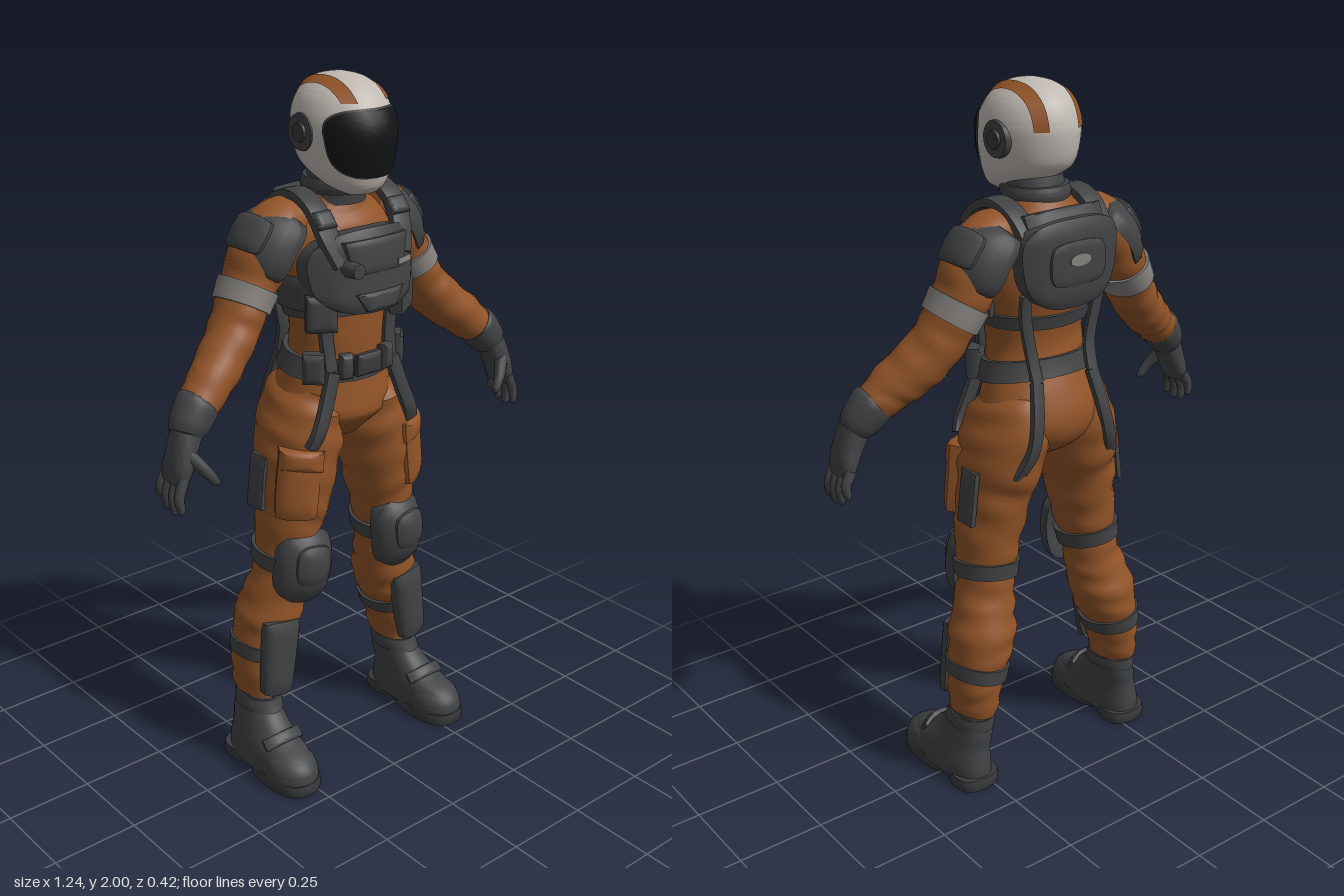
import * as THREE from 'three';
import { toCreasedNormals } from 'three/addons/utils/BufferGeometryUtils.js';

const colour = (name, hex) => Object.assign(new THREE.MeshStandardMaterial({ color: hex }), { name });
const V = (x, y, z) => new THREE.Vector3(x, y, z);

// Body sections, bottom to top: [x, y, z, half width, half depth]
const TORSO = [[0, .99, -.03, .07, .07], [0, 1.05, -.037, .16, .134], [0, 1.11, -.038, .185, .146], [0, 1.2, -.025, .165, .122],
  [0, 1.27, -.015, .145, .112], [0, 1.35, -.012, .15, .112], [0, 1.45, -.02, .175, .125], [0, 1.55, -.03, .182, .128],
  [0, 1.62, -.035, .155, .112], [0, 1.67, -.03, .105, .088], [0, 1.71, -.02, .08, .07]];
const LEG = [[.265, .23, -.068, .058, .082], [.26, .29, -.066, .068, .09], [.245, .38, -.065, .08, .093], [.225, .46, -.06, .095, .1],
  [.205, .54, -.045, .088, .09], [.19, .62, -.035, .08, .086], [.18, .7, -.025, .086, .096], [.165, .8, -.02, .096, .11],
  [.148, .9, -.02, .105, .125], [.128, 1, -.032, .113, .14], [.112, 1.1, -.038, .092, .135], [.1, 1.16, -.03, .06, .1]];
const ARM = [[.535, 1.165, .036, .048, .048], [.5, 1.205, .025, .055, .056], [.45, 1.25, .01, .062, .066], [.39, 1.3, -.015, .066, .075],
  [.335, 1.36, -.035, .066, .08], [.3, 1.42, -.045, .066, .084], [.265, 1.48, -.05, .072, .088], [.23, 1.55, -.05, .078, .09],
  [.18, 1.61, -.045, .072, .085], [.12, 1.64, -.04, .05, .06]];
const HELMET = [[0, 1.7, .085, .05, .035], [0, 1.72, .062, .082, .076], [0, 1.755, .032, .107, .118], [0, 1.79, .016, .118, .142],
  [0, 1.85, .012, .125, .155], [0, 1.9, .007, .122, .149], [0, 1.95, .002, .1, .122], [0, 1.985, 0, .06, .075], [0, 2, 0, .006, .008]];

// Catmull-Rom blend of sections at a fractional index
function section(rings, f) {
  const n = rings.length - 1, i = Math.min(Math.floor(f), n - 1), t = f - i;
  const [a, b, c, d] = [-1, 0, 1, 2].map(k => rings[Math.min(n, Math.max(0, i + k))]);
  return b.map((_, k) => b[k] + .5 * t * (c[k] - a[k] + t * (2 * a[k] - 5 * b[k] + 4 * c[k] - d[k] + t * (3 * (b[k] - c[k]) + d[k] - a[k]))));
}
// Section at a given height
function ringAt(rings, y, grow = 0) {
  let lo = 0, hi = rings.length - 1;
  for (let k = 0; k < 30; k++) { const m = (lo + hi) / 2; section(rings, m)[1] < y ? lo = m : hi = m; }
  const r = section(rings, lo);
  return [r[0], r[1], r[2], r[3] + grow, r[4] + grow];
}
function surface(pos, idx) {
  const g = new THREE.BufferGeometry();
  g.setAttribute('position', new THREE.Float32BufferAttribute(pos, 3));
  g.setIndex(idx);
  return g;
}
// Closed skin through sections; n squares them off, wrinkle adds cloth folds, level keeps sections horizontal
function loft(rings, { n = 2, sub = 4, sides = 28, wrinkle = 0, level = false } = {}) {
  const steps = (rings.length - 1) * sub, pos = [], idx = [];
  const rows = Array.from({ length: steps + 1 }, (_, i) => section(rings, i / sub));
  const sq = v => Math.sign(v) * Math.abs(v) ** (2 / n), at = i => V(...rows[Math.min(steps, Math.max(0, i))].slice(0, 3));
  rows.forEach((r, i) => {
    const t = level ? V(0, 1, 0) : at(i + 1).sub(at(i - 1)).normalize();
    const u = V(1, 0, 0).addScaledVector(t, -t.x).normalize(), v = u.clone().cross(t);
    for (let j = 0; j < sides; j++) {
      const a = j / sides * Math.PI * 2;
      const k = 1 + wrinkle * Math.sin(i * 1.25 + 2 * Math.sin(a + i * .13)) * (.6 + .4 * Math.cos(3 * a + i * .4));
      const p = at(i).addScaledVector(u, r[3] * k * sq(Math.cos(a))).addScaledVector(v, r[4] * k * sq(Math.sin(a)));
      pos.push(p.x, p.y, p.z);
      if (i < steps) {
        const A = i * sides + j, C = i * sides + (j + 1) % sides;
        idx.push(A, A + sides, C, A + sides, C + sides, C);
      }
    }
  });
  const c0 = pos.length / 3, last = steps * sides;
  pos.push(...at(0).toArray(), ...at(steps).toArray());
  for (let j = 0; j < sides; j++) {
    const k = (j + 1) % sides;
    idx.push(c0, j, k, c0 + 1, last + k, last + j);
  }
  return surface(pos, idx);
}
const band = (rings, y0, y1, grow) => loft([y0, (y0 + y1) / 2, y1].map(y => ringAt(rings, y, grow)), { sub: 2 });
const strap = (pts, w, t = .016) => loft(pts.map(p => [...p, w / 2, t / 2]), { n: 6, sides: 12 });
// Padded plate: soft rim, cut corners, wrapped round the body
function pad(w, h, d, { puff = .5, p = 6, corner = 0, taper = 0, bend = 0, bendY = 0 } = {}) {
  const g = new THREE.BoxGeometry(w, h, d, 12, 12, 2), a = g.attributes.position;
  for (let i = 0; i < a.count; i++) {
    const u = 2 * a.getX(i) / w, v = 2 * a.getY(i) / h;
    const x = a.getX(i) * (1 - corner * Math.abs(v) ** 3 + taper * v), y = a.getY(i) * (1 - corner * Math.abs(u) ** 3);
    a.setXYZ(i, x, y, a.getZ(i) * (1 - puff * Math.max(Math.abs(u), Math.abs(v)) ** p) - bend * x * x - bendY * y * y);
  }
  return g;
}
const place = (g, [x, y, z], [rx, ry, rz] = [0, 0, 0]) => g.rotateX(rx).rotateY(ry).rotateZ(rz).translate(x, y, z);
// Rounded patch lying on the helmet front
function visorPatch(A, H, grow) {
  const pos = [], idx = [], N = 48, R = 12, sq = v => Math.sign(v) * Math.abs(v) ** .6;
  for (let r = 0; r <= R; r++) for (let j = 0; j < N; j++) {
    const th = j / N * Math.PI * 2, v = sq(Math.sin(th)) * r / R, u = sq(Math.cos(th)) * r / R;
    const a = Math.PI / 2 - u * A * (1 + .1 * v), [x, y, z, rx, rz] = ringAt(HELMET, 1.835 + v * H, grow);
    pos.push(x + rx * Math.cos(a), y, z + rz * Math.sin(a));
    const k = r * N + j, m = r * N + (j + 1) % N;
    if (r < R) idx.push(k, k + N, m + N, k, m + N, m);
  }
  return surface(pos, idx);
}
// Painted stripe running over the helmet between two x positions
function stripe(x0, x1) {
  const pos = [], idx = [], N = 20;
  for (let i = -N; i <= N; i++) for (const x of [x0, x1]) {
    let lo = 1.85, hi = 2;
    for (let k = 0; k < 30; k++) { const m = (lo + hi) / 2; ringAt(HELMET, m, .003)[3] > x ? lo = m : hi = m; }
    const y = lo - (lo - (i < 0 ? 1.935 : 1.88)) * (i / N) ** 2, r = ringAt(HELMET, y, .003);
    pos.push(x, y + .002, r[2] - Math.sign(i) * r[4] * Math.sqrt(Math.max(0, 1 - (x / r[3]) ** 2)));
    if (x === x1 && i < N) { const a = (i + N) * 2; idx.push(a, a + 1, a + 2, a + 1, a + 3, a + 2); }
  }
  return surface(pos, idx);
}
// Copy reflected in x, with corner order swapped to keep faces outward
function mirrored(g) {
  const m = g.clone();
  for (const key of ['position', 'normal']) {
    const a = m.attributes[key], s = g.attributes[key];
    for (let i = 0; i < a.count; i++) { const k = i + [0, 1, -1][i % 3]; a.setXYZ(i, -s.getX(k), s.getY(k), s.getZ(k)); }
  }
  return m;
}

export function createModel() {
  const root = new THREE.Group();
  root.name = 'suitedPilot';
  const orange = colour('orange cloth', 0x925428), dark = colour('dark gear', 0x414244), black = colour('black visor', 0x131415),
    white = colour('helmet shell', 0xc0b9b3), grey = colour('grey band', 0x85827e), deep = colour('deep grey', 0x38393b);
  const one = (name, mat, geo) => {
    const mesh = new THREE.Mesh(toCreasedNormals(geo, .75), mat);
    mesh.name = name;
    root.add(mesh);
    return mesh;
  };
  const pair = (name, mat, geo) => {
    const left = one('left' + name, mat, geo), right = new THREE.Mesh(mirrored(left.geometry), mat);
    right.name = 'right' + name;
    root.add(right);
  };

  // Suit
  one('torso', orange, loft(TORSO, { wrinkle: .012, sides: 40 }));
  pair('TrouserLeg', orange, loft(LEG, { wrinkle: .045, sub: 5 }));
  pair('Sleeve', orange, loft(ARM, { wrinkle: .04, sub: 5 }));
  pair('ArmBand', grey, band(ARM, 1.415, 1.465, .008));

  // Helmet
  one('helmet', white, loft(HELMET, { sub: 6, sides: 48, level: true }));
  one('visorRim', deep, visorPatch(1.15, .09, .003));
  one('visor', black, visorPatch(1.11, .086, .006));
  pair('HelmetStripe', orange, stripe(.047, .08));
  pair('EarDisc', dark, place(new THREE.CylinderGeometry(.048, .054, .03, 28), [.112, 1.855, -.01], [0, 0, -Math.PI / 2]));
  pair('EarCap', deep, place(new THREE.CylinderGeometry(.024, .028, .012, 20), [.128, 1.855, -.01], [0, 0, -Math.PI / 2]));
  one('neck', dark, loft([[0, 1.66, -.025, .088, .085], [0, 1.7, -.018, .082, .082], [0, 1.73, -.012, .082, .082], [0, 1.78, 0, .075, .08]], { level: true }));
  one('neckRing', dark, loft([[0, 1.69, -.02, .09, .092], [0, 1.71, -.018, .095, .097], [0, 1.73, -.016, .09, .092]], { level: true }));

  // Chest rig
  one('chestPlate', dark, place(pad(.36, .225, .075, { corner: .22, taper: .05, bend: 2, puff: .4 }), [0, 1.5, .13], [-.12, 0, 0]));
  one('chestPanel', dark, place(pad(.19, .09, .03, { taper: .12, bend: 1, puff: .4 }), [0, 1.545, .156], [-.12, 0, 0]));
  one('chestLatch', dark, place(pad(.13, .05, .03, { taper: .25, bend: 1 }), [0, 1.425, .168], [-.1, 0, 0]));
  one('chestLabel', grey, place(new THREE.BoxGeometry(.06, .016, .006), [.085, 1.517, .163], [-.12, .28, 0]));
  one('chestKnob', dark, place(new THREE.CylinderGeometry(.02, .024, .05, 20), [-.09, 1.52, .162], [Math.PI / 2, 0, 0]));
  pair('ChestPouch', dark, place(pad(.085, .1, .055, { puff: .35 }), [.14, 1.395, .09], [0, .55, 0]));
  pair('SidePad', dark, place(pad(.13, .09, .03, { bend: 2 }), [.17, 1.44, .015], [0, 1.45, 0]));
  one('ribStrap', dark, band(TORSO, 1.365, 1.405, .01));
  pair('ShoulderStrap', dark, strap([[.1, 1.53, .13], [.125, 1.6, .1], [.13, 1.665, .055], [.128, 1.695, -.02], [.125, 1.67, -.1], [.115, 1.6, -.155], [.1, 1.5, -.17]], .062, .028));
  pair('StrapBuckle', dark, place(pad(.06, .05, .035), [.127, 1.64, .085], [-.7, 0, 0]));

  // Back pack
  one('backPack', dark, place(pad(.31, .24, .075, { corner: .2, taper: .08, bend: .8, puff: .4 }), [0, 1.545, -.165], [0, Math.PI, 0]));
  one('backPanel', dark, place(pad(.18, .12, .03, { corner: .15, puff: .4 }), [0, 1.55, -.195], [0, Math.PI, 0]));
  one('backBadge', grey, place(new THREE.CylinderGeometry(.035, .035, .006, 28).scale(1, 1, .5), [0, 1.56, -.21], [Math.PI / 2, 0, 0]));
  one('packTop', dark, place(pad(.25, .05, .07, { bend: .6 }), [0, 1.655, -.135], [-.5, Math.PI, 0]));
  pair('BackStrap', dark, strap([[.095, 1.22, -.15], [.1, 1.3, -.128], [.12, 1.4, -.13], [.125, 1.47, -.14]], .035));

  // Belt and harness
  one('belt', dark, band(TORSO, 1.205, 1.26, .014));
  one('beltBuckle', deep, place(pad(.085, .06, .03), [0, 1.232, .118]));
  pair('BeltPouch', dark, place(pad(.06, .085, .05, { puff: .35 }), [.145, 1.235, .065], [0, .8, 0]));
  pair('BeltClip', dark, place(pad(.035, .07, .04), [.07, 1.235, .108], [0, .25, 0]));
  pair('FrontStrap', dark, strap([[.105, 1.22, .085], [.11, 1.3, .075], [.12, 1.38, .075]], .04, .022));
  pair('ThighStrap', dark, strap([[.18, 1.02, .094], [.165, 1.06, .106], [.14, 1.12, .104], [.105, 1.22, .095]], .042, .022));
  pair('SeatStrap', dark, strap([[.165, .96, -.15], [.135, 1.03, -.178], [.115, 1.11, -.176], [.095, 1.22, -.147]], .036, .022));

  // Shoulder armour
  pair('ShoulderPad', dark, place(pad(.235, .19, .055, { corner: .16, bend: 4.5, bendY: 3.5, p: 4 }), [.262, 1.6, -.052], [0, Math.PI / 2, .62]));
  pair('ShoulderRidge', dark, place(pad(.15, .1, .022, { corner: .12, bend: 4, bendY: 2.5 }), [.282, 1.615, -.052], [0, Math.PI / 2, .62]));

  // Gloves
  pair('GloveCuff', dark, loft([[.55, 1.145, .042, .045, .045], [.537, 1.165, .037, .054, .055], [.505, 1.205, .028, .06, .061], [.495, 1.215, .026, .055, .056]]));
  pair('Palm', dark, loft([[.592, 1.025, .045, .02, .045], [.584, 1.06, .047, .028, .05], [.57, 1.1, .047, .033, .047], [.548, 1.15, .042, .04, .042]], { n: 2.5 }));
  [[.006, -.002, .975], [.032, .03, .95], [.058, .062, .945], [.083, .093, .955]].forEach(([z0, z1, y], i) =>
    pair('Finger' + (i + 1), dark, loft([[.604, y - .003, z1, .005, .005], [.606, y + .007, z1, .011, .011],
      [.608, (y + 1.04) / 2, (z0 + z1) / 2, .014, .014], [.588, 1.045, z0, .016, .015]], { sides: 12 })));
  pair('Thumb', dark, loft([[.503, 1.018, .112, .005, .005], [.51, 1.026, .112, .012, .012], [.535, 1.06, .102, .016, .016], [.568, 1.105, .072, .02, .022]], { sides: 12 }));

  // Leg gear
  pair('CargoPocket', orange, place(pad(.12, .19, .06, { bend: 3, puff: .4, p: 4, corner: .06 }), [.208, .905, .068], [0, .6, .1]));
  pair('PocketFlap', orange, place(pad(.125, .06, .07, { bend: 3, puff: .4, p: 4 }), [.197, .982, .07], [0, .6, .1]));
  pair('ThighPanel', dark, place(pad(.065, .155, .025, { puff: .4 }), [.256, .895, -.05], [0, Math.PI / 2, .12]));
  pair('KneePad', dark, place(pad(.175, .22, .07, { corner: .2, p: 3, bend: 5, bendY: 2.5 }), [.18, .65, .085], [0, .1, .1]));
  pair('KneeShell', dark, place(pad(.11, .12, .03, { corner: .2, p: 3, bend: 5, bendY: 2.5 }), [.182, .665, .113], [0, .1, .1]));
  pair('KneeBand', dark, band(LEG, .635, .68, .01));
  pair('ShinBand', dark, band(LEG, .345, .385, .008));
  pair('ShinGuard', dark, place(pad(.11, .235, .045, { taper: .1, corner: .06, bend: 4 }), [.252, .365, .036], [0, .1, .12]));

  // Boots
  pair('BootUpper', dark, loft([[.283, .025, .03, .072, .172], [.284, .06, .03, .073, .172], [.282, .095, .018, .068, .155], [.278, .125, -.015, .062, .118],
    [.272, .165, -.045, .056, .092], [.266, .21, -.06, .053, .075], [.262, .28, -.065, .054, .072]], { n: 2.4, sides: 36, level: true }));
  const sole = (z, rz, rx) => loft([[.284, 0, z, rx, rz], [.284, .018, z, rx + .003, rz + .003], [.284, .036, z, rx, rz]], { n: 2.6, sub: 2, sides: 36, level: true });
  pair('FrontSole', deep, sole(.09, .118, .073));
  pair('HeelSole', deep, sole(-.09, .06, .066));
  pair('ToeCap', dark, loft([[.285, .03, .115, .074, .092], [.285, .06, .115, .073, .09], [.285, .09, .105, .062, .076], [.285, .112, .09, .03, .04]], { level: true }));
  pair('InstepStrap', dark, place(pad(.13, .035, .02, { bend: 5 }), [.28, .135, .088], [-.8, 0, 0]));
  pair('AnkleStrap', dark, loft([[.269, .185, -.052, .06, .089], [.267, .205, -.057, .061, .084], [.266, .222, -.06, .058, .08]], { level: true }));
  return root;
}
